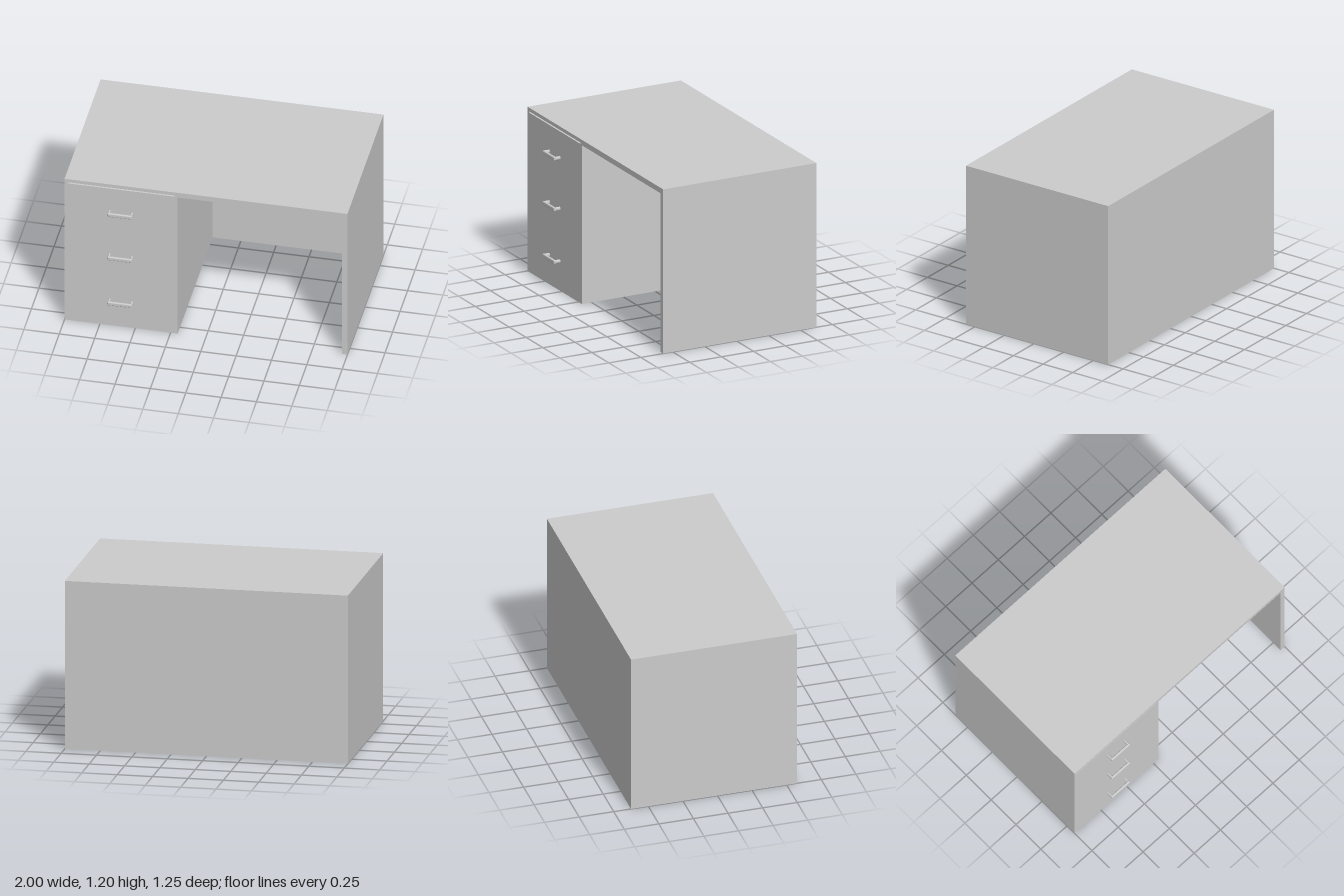
import * as THREE from 'three';
import { RoundedBoxGeometry } from 'three/addons/geometries/RoundedBoxGeometry.js';

const material = new THREE.MeshStandardMaterial({ color: 0xcccccc });
const BACK = -0.625, FRONT = 0.575, PANEL = 0.04;

function add(parent, name, geometry, x = 0, y = 0, z = 0) {
  const mesh = new THREE.Mesh(geometry, material);
  mesh.name = name;
  mesh.position.set(x, y, z);
  parent.add(mesh);
  return mesh;
}

// Box given by its minimum and maximum corners
function addBox(parent, name, [x0, y0, z0], [x1, y1, z1]) {
  return add(parent, name, new THREE.BoxGeometry(x1 - x0, y1 - y0, z1 - z0),
    (x0 + x1) / 2, (y0 + y1) / 2, (z0 + z1) / 2);
}

// Bar pull: a rounded bar on two oval posts
function createHandle(y) {
  const handle = new THREE.Group();
  handle.name = 'drawerHandle';
  const width = 0.175, depth = 0.05, bar = 0.018;
  add(handle, 'handleBar', new RoundedBoxGeometry(width, 0.03, bar, 4, 0.008), 0, 0, depth - bar / 2);
  for (const side of [-1, 1]) {
    const post = new THREE.CylinderGeometry(0.009, 0.009, depth - bar / 2, 20);
    post.rotateX(Math.PI / 2);
    post.scale(1, 1.5, 1);
    add(handle, 'handlePost', post, side * (width / 2 - 0.009), 0, (depth - bar / 2) / 2);
  }
  handle.position.set(-0.602, y, FRONT);
  return handle;
}

export function createModel() {
  const desk = new THREE.Group();
  desk.name = 'desk';

  // Top, side panel and hollow cabinet share one front profile
  const profile = new THREE.Shape([
    [-1, 0], [-0.2, 0], [-0.2, 1.16], [0.96, 1.16],
    [0.96, 0], [1, 0], [1, 1.2], [-1, 1.2],
  ].map(([x, y]) => new THREE.Vector2(x, y)));
  profile.holes.push(new THREE.Path([
    [-0.98, 0.02], [-0.98, 1.174], [-0.22, 1.174], [-0.22, 0.02],
  ].map(([x, y]) => new THREE.Vector2(x, y))));
  const frame = new THREE.ExtrudeGeometry(profile, { depth: FRONT - BACK, bevelEnabled: false });
  add(desk, 'deskFrame', frame, 0, 0, BACK);

  // Back panels close the knee space and the cabinet
  addBox(desk, 'modestyPanel', [-0.2, 0, BACK], [0.96, 1.16, BACK + PANEL]);
  addBox(desk, 'cabinetBack', [-0.98, 0.02, BACK], [-0.22, 1.174, BACK + PANEL]);

  // Three flush drawers, leaving a thin slot under the top
  const bottom = 0.02, height = (1.164 - bottom) / 3;
  [0.215, 0.6, 0.97].forEach((handleY, i) => {
    const y = bottom + i * height;
    addBox(desk, 'drawer', [-0.98, y, BACK + PANEL], [-0.22, y + height, FRONT]);
    desk.add(createHandle(handleY));
  });

  return desk;
}
